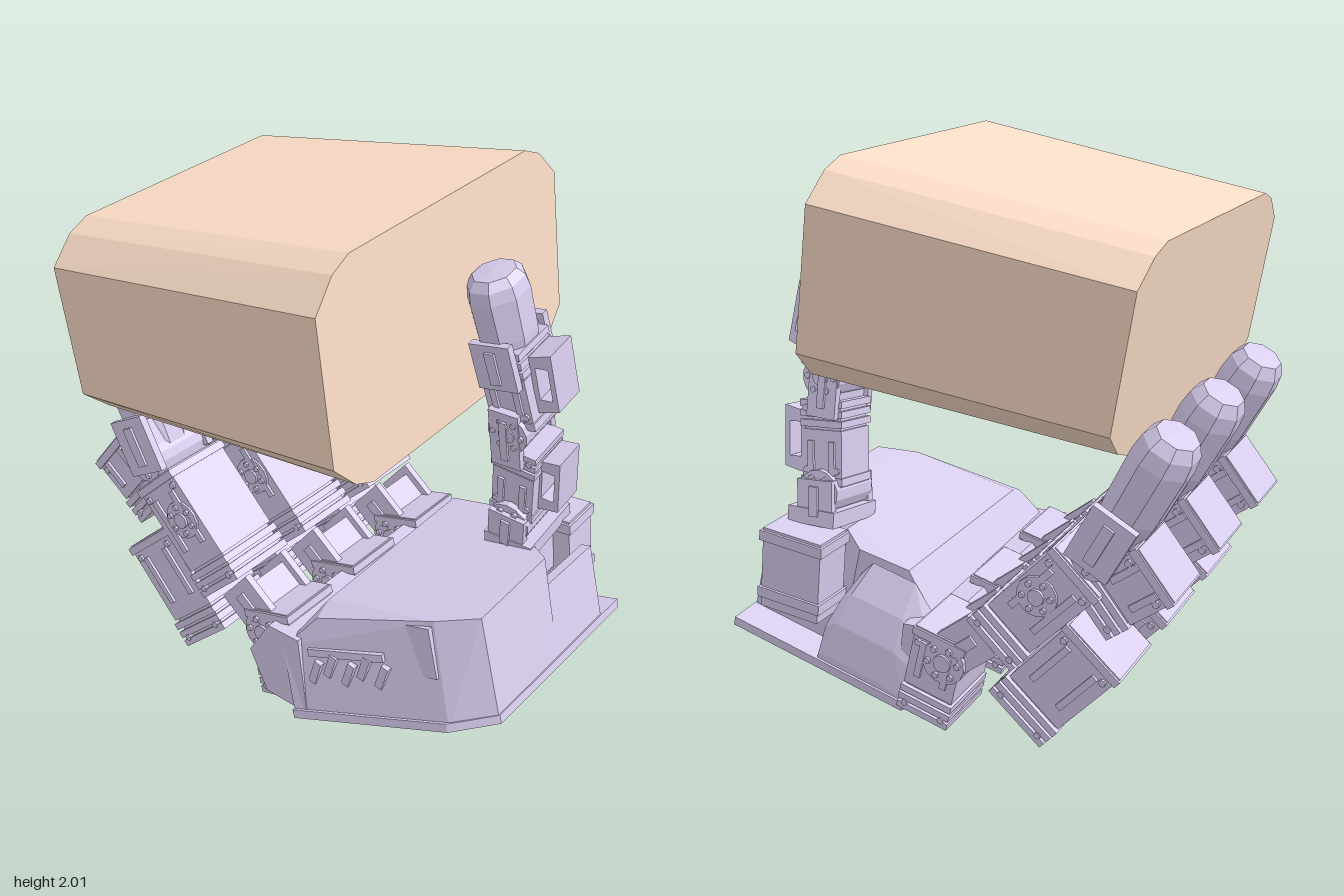
import * as THREE from 'three';
import { ConvexGeometry } from 'three/addons/geometries/ConvexGeometry.js';

const shell = new THREE.MeshStandardMaterial({ color: 0xd8cdee, flatShading: true });
const blockMat = new THREE.MeshStandardMaterial({ color: 0xfadcc6, flatShading: true });

function add(parent, name, geo, x = 0, y = 0, z = 0, rot = 0, mat = shell) {
  const m = new THREE.Mesh(geo, mat);
  m.name = name;
  m.position.set(x, y, z);
  m.rotation.z = rot;
  parent.add(m);
  return m;
}
const box = (p, name, w, h, d, x, y, z = 0, rot = 0) => add(p, name, new THREE.BoxGeometry(w, h, d), x, y, z, rot);
const hull = (p, name, pts, mat) => add(p, name, new ConvexGeometry(pts), 0, 0, 0, 0, mat);

function group(parent, name, x, y, z = 0, rot = 0) {
  const g = new THREE.Group();
  g.name = name;
  g.position.set(x, y, z);
  g.rotation.z = rot;
  parent.add(g);
  return g;
}

function disc(p, name, r, d, x, y, z = 0, sides = 14) {
  add(p, name, new THREE.CylinderGeometry(r, r, d, sides), x, y, z).rotation.x = Math.PI / 2;
}

// Motor block: main body, stacked plates at the +x end, side ribs and screws
function servo(parent, name, x, y, rot, len, h, d) {
  const g = group(parent, name, x, y, 0, rot);
  const body = len - 0.11;
  box(g, 'motorBody', body, h * 0.94, d * 0.94, -0.055, 0);
  box(g, 'motorCore', len - 0.02, h * 0.86, d * 0.88, 0, 0);
  for (let i = 0; i < 3; i++) box(g, 'endPlate', 0.026, h, d, len / 2 - 0.013 - i * 0.037, 0);
  box(g, 'rearRim', 0.03, h, d, -len / 2 + 0.02, 0);
  for (const s of [-1, 1]) {
    for (const k of [-1, 1]) {
      box(g, 'sideRib', body * 0.6, 0.025, 0.02, -0.055, k * h * 0.25, s * d * 0.47);
      disc(g, 'screw', 0.013, 0.02, len / 2 - 0.03, k * h * 0.36, s * d * 0.48, 8);
      disc(g, 'screw', 0.013, 0.02, -len / 2 + 0.06, k * h * 0.36, s * d * 0.47, 8);
    }
  }
}

// Round hinge with a raised hub and a ring of bolts on both faces
function hinge(parent, x, y, r, d) {
  const g = group(parent, 'hinge', x, y);
  disc(g, 'hingeDrum', r, d, 0, 0);
  for (const s of [-1, 1]) {
    disc(g, 'hingeHub', r * 0.4, 0.02, 0, 0, s * d / 2);
    for (let i = 0; i < 6; i++) {
      const a = i * Math.PI / 3;
      disc(g, 'hingeBolt', r * 0.15, 0.02, Math.cos(a) * r * 0.7, Math.sin(a) * r * 0.7, s * d / 2, 6);
    }
  }
}

// Two side plates joining neighbouring parts
function fork(parent, x, y, rot, len, h, d) {
  const g = group(parent, 'fork', x, y, 0, rot);
  for (const s of [-1, 1]) {
    box(g, 'forkPlate', len, h, 0.03, 0, 0, s * (d / 2 - 0.015));
    box(g, 'forkRib', len * 0.7, h * 0.25, 0.02, 0, 0, s * d / 2);
  }
  box(g, 'forkBridge', len * 0.75, h * 0.7, d - 0.04, 0, 0);
}

// Blunt faceted fingertip, growing along +y
function fingertip(parent, x, y, rot, len) {
  const prof = [[0, 0], [0.085, 0], [0.1, 0.3], [0.104, 0.76], [0.096, 0.89], [0.072, 0.98], [0, 1]];
  const geo = new THREE.LatheGeometry(prof.map(([r, t]) => new THREE.Vector2(r, t * len)), 8, Math.PI / 8);
  add(parent, 'fingertip', geo, x, y, 0, rot).scale.set(1.04, 1, 1.2);
}

// Open rectangular bracket, hole along z
function bracket(parent, x, y, z, rot, w, h, d) {
  const s = new THREE.Shape();
  s.moveTo(-w / 2, -h / 2).lineTo(w / 2, -h / 2 + 0.02).lineTo(w / 2, h / 2).lineTo(-w / 2, h / 2 - 0.02).closePath();
  const hole = new THREE.Path(), a = w / 2 - 0.02, b = h / 2 - 0.06;
  hole.moveTo(-a, -b).lineTo(-a, b).lineTo(a, b).lineTo(a, -b).closePath();
  s.holes.push(hole);
  const geo = new THREE.ExtrudeGeometry(s, { depth: d, bevelEnabled: false }).translate(0, 0, -d / 2);
  add(parent, 'bracket', geo, x, y, z, rot);
}

function finger(parent, z) {
  const g = group(parent, 'finger', 0, -0.05, z);
  servo(g, 'knuckleMotor', 0.035, 0.245, -1.31, 0.36, 0.21, 0.27);
  fork(g, -0.07, 0.375, -0.67, 0.26, 0.17, 0.24);
  hinge(g, -0.02, 0.32, 0.085, 0.27);
  servo(g, 'lowerMotor', -0.45, 0.335, -0.83, 0.45, 0.26, 0.28);
  servo(g, 'middleMotor', -0.38, 0.615, -0.8, 0.48, 0.23, 0.3);
  fork(g, -0.4, 0.7, -0.75, 0.3, 0.1, 0.26);
  hinge(g, -0.4, 0.67, 0.075, 0.3);
  servo(g, 'upperMotor', -0.69, 0.725, -0.65, 0.3, 0.22, 0.24);
  hinge(g, -0.6, 0.84, 0.08, 0.27);
  fork(g, -0.625, 0.9, 2.08, 0.22, 0.17, 0.29);
  fingertip(g, -0.62, 0.86, 0.49, 0.46);
}

function thumb(parent) {
  const base = group(parent, 'thumbBase', 0.63, 0.46, -0.5, 0.1);
  box(base, 'thumbMotor', 0.25, 0.32, 0.17, 0, 0);
  box(base, 'thumbMotorRim', 0.27, 0.04, 0.19, 0, 0.13);
  box(base, 'thumbMotorRim', 0.27, 0.04, 0.19, 0, -0.1);
  box(base, 'thumbMount', 0.15, 0.22, 0.3, -0.02, 0.05, 0.16);

  const g = group(parent, 'thumb', 0, 0.6, -0.33);
  g.rotation.x = 0.16;
  box(g, 'thumbFoot', 0.2, 0.06, 0.29, 0.61, 0.03);
  fork(g, 0.6, 0.09, 1.5, 0.16, 0.15, 0.28);
  hinge(g, 0.6, 0.12, 0.085, 0.24);
  servo(g, 'thumbLowerMotor', 0.61, 0.3, 1.5, 0.32, 0.18, 0.2);
  bracket(g, 0.73, 0.3, -0.02, -0.05, 0.09, 0.25, 0.14);
  fork(g, 0.6, 0.52, 1.6, 0.24, 0.12, 0.25);
  hinge(g, 0.61, 0.55, 0.08, 0.24);
  servo(g, 'thumbUpperMotor', 0.59, 0.72, 1.77, 0.32, 0.19, 0.2);
  bracket(g, 0.72, 0.76, -0.02, 0.15, 0.09, 0.25, 0.14);
  fork(g, 0.57, 0.83, 1.78, 0.18, 0.16, 0.26);
  fingertip(g, 0.57, 0.81, 0.2, 0.335);
}

// Palm in its own tilted frame: u across, v up from the base plate
function palm(parent) {
  const g = group(parent, 'palm', 0.18, 0.01, 0, 0.257);
  const V = (u, v, z) => new THREE.Vector3(u, v, z);
  hull(g, 'palmShell', [
    V(0, 0, 0.56), V(0.6, 0, 0.43), V(0.745, 0, 0.32), V(0, 0, -0.43), V(0.745, 0, -0.1),
    V(0, 0.29, 0.55), V(0.15, 0.41, 0.5), V(0.15, 0.445, 0.42), V(0.6, 0.43, 0.41), V(0.745, 0.425, 0.33),
    V(0.02, 0.33, -0.43), V(0.15, 0.47, -0.42), V(0.36, 0.46, -0.42), V(0.36, 0, -0.43), V(0.745, 0.44, -0.11),
  ]);
  // Rounded housing closing the back of the palm
  hull(g, 'backHousing', [
    [-0.05, 0.32, 0.02, 0.3, -0.4], [-0.03, 0.33, 0.02, 0.44, -0.43], [-0.04, 0.36, 0.0, 0.32, -0.5], [-0.05, 0.38, 0.01, 0.2, -0.54],
    [0, 0.38, 0, 0.06, -0.56],
  ].flatMap(([u0, u1, v0, v1, z]) => [V(u0, v0, z), V(u1, v0, z), V(u0, v1 * 0.7, z), V(u0 + 0.14, v1, z), V(u1 - 0.04, v1, z), V(u1, v1 * 0.85, z)]));
  // Low deck under the thumb with a side wall
  hull(g, 'thumbDeck', [-0.05, -0.44].flatMap(z => [
    V(0.2, 0, z), V(0.745, 0, z), V(0.735, 0.16, z), V(0.2, 0.16, z)]));
  hull(g, 'sideWall', [-0.05, -0.44].flatMap(z => [
    V(0.69, 0, z), V(0.745, 0, z), V(0.74, 0.33, z), V(0.7, 0.33, z)]));
  hull(g, 'basePlate', [0, 0.035].flatMap(v => [
    V(0, v, 0.57), V(0.6, v, 0.44), V(0.75, v, 0.32), V(0.75, v, -0.57), V(0, v, -0.57)]));
  hull(g, 'knuckleWall', [0.55, -0.53].flatMap(z => [
    V(-0.13, 0.08, z), V(0.05, 0.02, z), V(0.08, 0.33, z), V(-0.05, 0.37, z), V(-0.17, 0.25, z)]));
  // Front grip ribs, side hatch and screws
  for (let i = 0; i < 5; i++) box(g, 'gripRib', 0.03, 0.1, 0.03, 0.12 + i * 0.065, 0.2 + (i % 2) * 0.03, 0.525 - i * 0.014, -0.5);
  box(g, 'gripBar', 0.3, 0.03, 0.03, 0.25, 0.28, 0.495).rotation.y = 0.19;
  box(g, 'sideHatch', 0.1, 0.2, 0.04, 0.54, 0.31, 0.415);
  for (const [u, z] of [[0.06, 0.45], [0.06, -0.5], [0.68, 0.28], [0.68, -0.5]])
    add(g, 'baseScrew', new THREE.CylinderGeometry(0.016, 0.016, 0.01, 8), u, 0, z);
}

// Tapered block with softened long edges, held by the hand
function block(parent) {
  const section = (top, bottom, z, x, lean, cut) => {
    const rim = [[z - 0.19, 0], [z - 0.1, cut * 0.27], [z, cut]];
    return rim.flatMap(([w, drop]) => [top - drop, bottom + drop].flatMap(y =>
      [-1, 1].map(s => new THREE.Vector3(x + (top - y) * lean, y, s * w))));
  };
  hull(parent, 'heldBlock', [
    ...section(2.0, 1.22, 0.705, 0.39, 0.128, 0.135),
    ...section(1.81, 1.1, 0.67, -0.76, 0.165, 0.12),
  ], blockMat);
}

export function createModel() {
  const model = new THREE.Group();
  model.name = 'robotHandHoldingBlock';
  block(model);
  thumb(model);
  // Palm and fingers share a slight sideways tilt
  const hand = group(model, 'hand', 0, 0.032);
  hand.rotation.x = -0.055;
  palm(hand);
  for (const z of [0.375, -0.035, -0.46]) finger(hand, z);
  return model;
}
